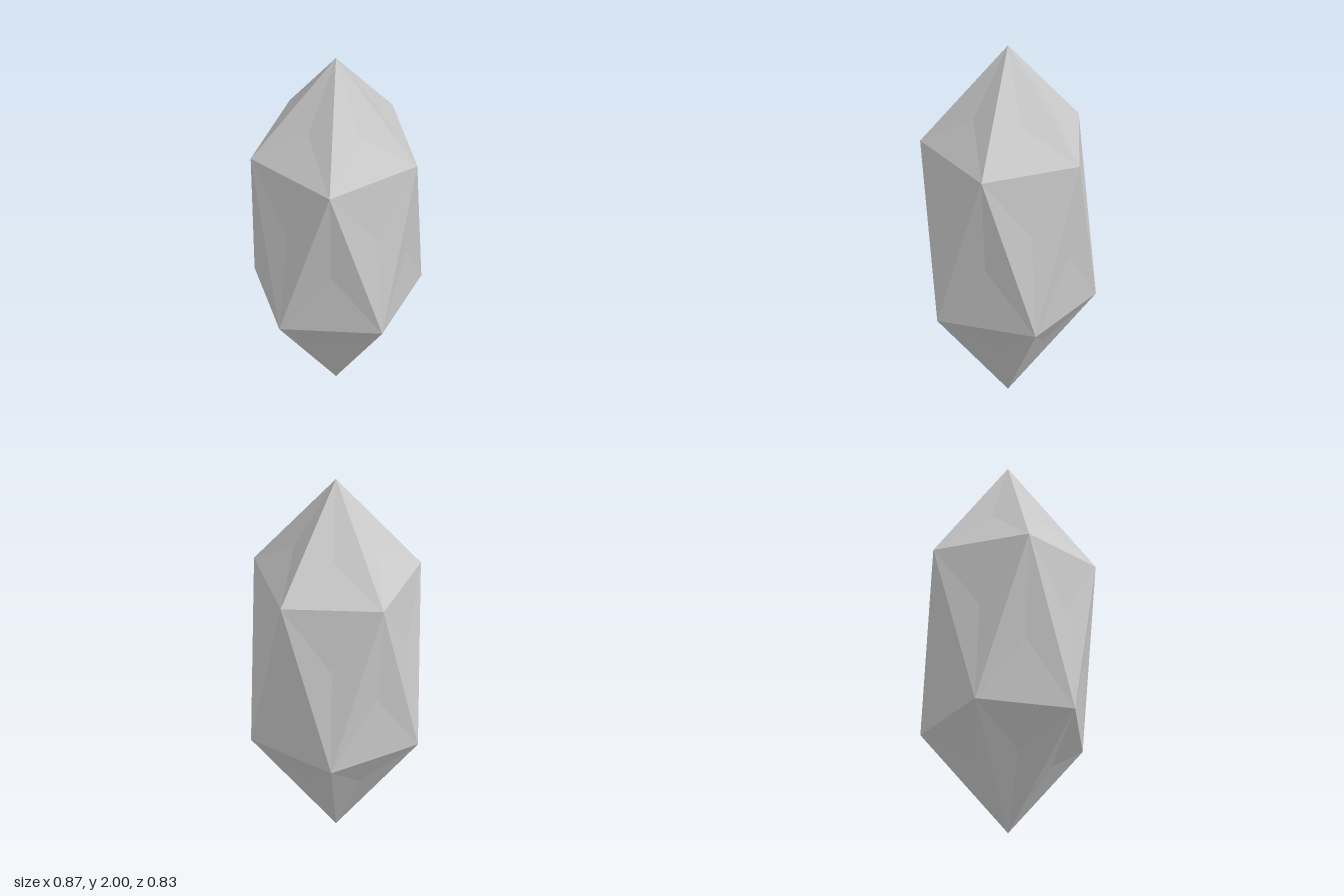
import * as THREE from 'three';

const RADIUS = 0.437, UPPER = 1.447, LOWER = 0.553, DIMPLE = 0.01;

// Five corners evenly spaced around the crystal
function ring(y, turn) {
  return Array.from({ length: 5 }, (_, i) => {
    const a = (i * 2 * Math.PI) / 5 + turn;
    return new THREE.Vector3(RADIUS * Math.cos(a), y, RADIUS * Math.sin(a));
  });
}

// One facet: a triangle pushed in slightly at its edge-weighted centre
function addFacet(out, a, b, c) {
  const ab = a.distanceTo(b), bc = b.distanceTo(c), ca = c.distanceTo(a);
  const sum = 2 * (ab + bc + ca);
  const normal = new THREE.Triangle(a, b, c).getNormal(new THREE.Vector3());
  const centre = new THREE.Vector3()
    .addScaledVector(a, (ab + ca) / sum)
    .addScaledVector(b, (ab + bc) / sum)
    .addScaledVector(c, (bc + ca) / sum)
    .addScaledVector(normal, -DIMPLE);
  for (const [p, q] of [[a, b], [b, c], [c, a]]) {
    for (const v of [p, q, centre]) out.push(v.x, v.y, v.z);
  }
}

export function createModel() {
  const top = new THREE.Vector3(0, 2, 0);
  const bottom = new THREE.Vector3(0, 0, 0);
  const upper = ring(UPPER, 0);
  const lower = ring(LOWER, Math.PI / 5);

  // Top point, interlocking waist facets, bottom point
  const positions = [];
  for (let i = 0; i < 5; i++) {
    const j = (i + 1) % 5;
    addFacet(positions, top, upper[j], upper[i]);
    addFacet(positions, upper[i], upper[j], lower[i]);
    addFacet(positions, upper[j], lower[j], lower[i]);
    addFacet(positions, bottom, lower[i], lower[j]);
  }

  const geometry = new THREE.BufferGeometry();
  geometry.setAttribute('position', new THREE.Float32BufferAttribute(positions, 3));
  geometry.computeVertexNormals();

  const crystal = new THREE.Mesh(
    geometry,
    new THREE.MeshStandardMaterial({ color: 0xcccccc, flatShading: true })
  );
  crystal.name = 'crystal';

  const group = new THREE.Group();
  group.name = 'crystalGem';
  group.add(crystal);
  return group;
}
